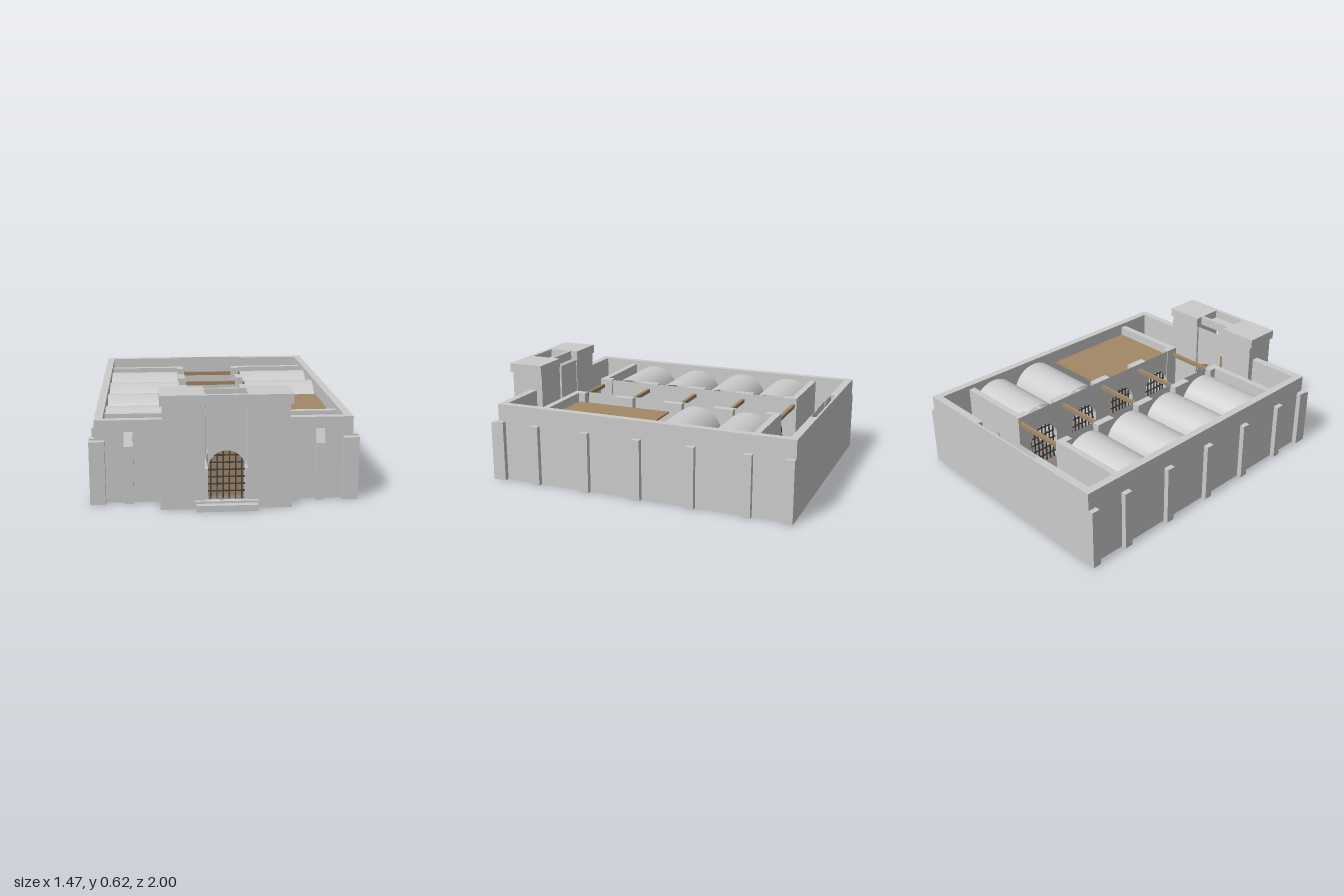
import * as THREE from 'three';

export function createModel() {
  const root = new THREE.Group();
  const mat = (color, extra = {}) => new THREE.MeshStandardMaterial({ color, ...extra });
  const stone = mat(0xcccccc);
  const thinStone = mat(0xcccccc, { side: THREE.DoubleSide });
  const wood = mat(0xa38866), paving = mat(0x8c8078), iron = mat(0x444444);
  const water = mat(0x3f5f6a), straw = mat(0xc9b784);

  const add = (name, geo, m = stone, parent = root) => {
    const mesh = new THREE.Mesh(geo, m);
    mesh.name = name;
    parent.add(mesh);
    return mesh;
  };
  // Box given by its limits on each axis
  const box = (name, x0, x1, y0, y1, z0, z1, m = stone, parent = root) => {
    const mesh = add(name, new THREE.BoxGeometry(Math.abs(x1 - x0), y1 - y0, Math.abs(z1 - z0)), m, parent);
    mesh.position.set((x0 + x1) / 2, (y0 + y1) / 2, (z0 + z1) / 2);
    return mesh;
  };
  const cyl = (name, r0, r1, h, x, y, z, m, sides = 12) => {
    const mesh = add(name, new THREE.CylinderGeometry(r0, r1, h, sides), m);
    mesh.position.set(x, y + h / 2, z);
    return mesh;
  };

  const R = 0.1, SPRING = 0.22, FLOOR = 0.047, WALL = 0.465, INNER = 0.44;

  // Arched opening: a thin spandrel facing local +z with a barrel arch behind it
  const archway = (name, top, depth) => {
    const g = new THREE.Group();
    g.name = name;
    const s = new THREE.Shape();
    s.moveTo(-R, SPRING);
    s.lineTo(-R, top);
    s.lineTo(R, top);
    s.lineTo(R, SPRING);
    s.absarc(0, SPRING, R, 0, Math.PI, false);
    add('spandrel', new THREE.ShapeGeometry(s, 16), thinStone, g);
    const barrel = new THREE.CylinderGeometry(R, R, depth, 20, 1, true, -Math.PI / 2, Math.PI);
    barrel.rotateX(-Math.PI / 2).translate(0, SPRING, -depth / 2);
    add('barrelArch', barrel, thinStone, g);
    root.add(g);
    return g;
  };
  // Arched iron grille in the local xy plane
  const grille = (name, t, cols, rows) => {
    const g = new THREE.Group();
    g.name = name;
    for (let i = 0; i < cols; i++) {
      const x = -R + (2 * R * (i + 0.5)) / cols;
      const top = SPRING + 0.93 * Math.sqrt(R * R - x * x);
      box('verticalBar', x - t / 2, x + t / 2, FLOOR, top, -t / 2, t / 2, iron, g);
    }
    for (let j = 0; j < rows; j++) {
      const y = 0.09 + (j * 0.2) / (rows - 1);
      const half = y < SPRING ? R : 0.95 * Math.sqrt(R * R - (y - SPRING) ** 2);
      box('crossBar', -half, half, y - t / 2, y + t / 2, -t / 3, t / 1.5, iron, g);
    }
    root.add(g);
    return g;
  };

  // Floors
  const floor = (x0, x1, z0, z1) => box('floor', x0, x1, FLOOR - 0.004, FLOOR, z0, z1, paving);
  floor(-0.66, 0.66, 0.57, 0.77);
  floor(-0.66, 0.66, -0.955, -0.76);
  floor(-0.17, 0.17, -0.76, 0.57);
  floor(-0.1, 0.1, 0.77, 0.935);

  // Outer walls and buttresses
  for (const s of [-1, 1]) {
    box('sideWall', s * 0.66, s * 0.705, 0, WALL, -1, 0.815);
    box('frontWall', s * 0.118, s * 0.66, 0, WALL, 0.77, 0.815);
    box('backWall', s * 0.255, s * 0.66, 0, WALL, -1, -0.955);
    box('nicheWall', s * R, s * 0.255, 0, WALL, -0.959, -0.955);
    box('frontCornerButtress', s * 0.65, s * 0.735, 0, 0.355, 0.77, 0.85);
    box('frontCornerCap', s * 0.7, s * 0.735, 0.355, 0.363, 0.77, 0.815);
    box('backCornerButtress', s * 0.7, s * 0.735, 0, 0.36, -1, -0.95);
    for (const z of [0.562, 0.237, -0.087, -0.412, -0.74])
      box('sideButtress', s * 0.7, s * 0.735, 0, 0.36, z - 0.025, z + 0.025);
    // Front buttress with a sloping top
    const p = new THREE.Shape([[0.8, 0], [0.845, 0], [0.845, 0.325], [0.815, 0.4], [0.8, 0.4]]
      .map(([z, y]) => new THREE.Vector2(-z, y)));
    const g = new THREE.ExtrudeGeometry(p, { depth: 0.05, bevelEnabled: false });
    g.rotateY(Math.PI / 2).translate(s * 0.523 - 0.025, 0, 0);
    add('slopedButtress', g);
    box('wallBracket', s * 0.33, s * 0.41, 0.37, 0.385, -0.955, -0.945, iron);
  }
  box('nicheBack', -0.255, 0.255, 0, WALL, -1, -0.988);
  archway('nicheArch', WALL, 0.044).position.z = -0.955;

  // Corridor walls, cell doors, cross walls and vaults
  const lines = [-0.745, -0.42, -0.095, 0.23, 0.56];
  for (const s of [-1, 1]) {
    lines.forEach((z, i) => {
      const end = i === 0 || i === 4;
      const largeCell = s > 0 && i >= 2;
      if (end) box('endWall', s * 0.2, s * 0.66, 0, INNER, z - 0.02, z + 0.018);
      else if (!(s > 0 && i === 3))
        box('crossWall', s * 0.2, s * 0.66, 0, 0.28, z - 0.02, largeCell ? z + 0.002 : z + 0.02);
      const z0 = i ? z - 0.0625 : z - 0.02, z1 = i < 4 ? z + 0.0625 : z + 0.02;
      box('corridorPier', s * 0.17, s * 0.215, 0, INNER, z0, z1);
      if (i === 4) return;
      const c = z + 0.1625;
      const arch = archway('cellDoorArch', INNER, 0.045);
      arch.position.set(s * 0.17, 0, c);
      arch.rotation.y = -s * Math.PI / 2;
      const gate = grille('cellGate', 0.007, 7, 5);
      gate.position.set(s * 0.192, 0, c);
      gate.rotation.y = -s * Math.PI / 2;
      if (largeCell) return;
      floor(s * 0.17, s * 0.66, z + 0.02, z + 0.305);
      const v = new THREE.CylinderGeometry(0.1625, 0.1625, 0.445, 32, 1, true, 0, Math.PI);
      v.rotateZ(Math.PI / 2);
      add('cellVault', v, thinStone).position.set(s * 0.4375, 0.274, c);
    });
  }
  floor(0.17, 0.66, -0.075, 0.54);
  box('largeCellCeiling', 0.215, 0.658, 0.375, 0.385, -0.075, 0.54, wood);
  for (const z of lines) box('corridorBeam', -0.175, 0.175, 0.382, 0.405, z - 0.01, z + 0.01, wood);

  // Drain along the corridor
  box('drainChannel', -0.01, 0.01, FLOOR, FLOOR + 0.003, -0.73, 0.55, water);
  for (let i = 0; i < 4; i++) {
    const z = lines[i] + 0.1625;
    box('drainGrate', -0.011, 0.011, FLOOR, FLOOR + 0.006, z - 0.02, z + 0.02, iron);
  }

  // Gatehouse towers with a flared base
  for (const s of [-1, 1]) {
    const g = new THREE.BoxGeometry(0.225, 0.57, 0.205, 1, 2, 1);
    const p = g.attributes.position;
    for (let i = 0; i < p.count; i++) {
      const y = p.getY(i);
      if (Math.abs(y) < 0.01) p.setY(i, 0.13 - 0.285);
      else if (y < 0) {
        if (p.getX(i) * s > 0) p.setX(i, p.getX(i) + s * 0.015);
        if (p.getZ(i) > 0) p.setZ(i, p.getZ(i) + 0.015);
      }
    }
    add('gateTower', g).position.set(s * 0.2275, 0.285, 0.8325);
    box('towerCap', s * 0.115, s * 0.355, 0.57, 0.625, 0.725, 0.945);
    box('gateJamb', s * 0.1, s * 0.118, 0, SPRING, 0.73, 0.935);
  }
  // Parapet bridging the towers
  box('frontParapet', -0.115, 0.115, 0.57, 0.625, 0.92, 0.945);
  box('rearParapet', -0.115, 0.115, 0.57, 0.625, 0.77, 0.79);
  box('gateRoof', -0.115, 0.115, 0.565, 0.575, 0.78, 0.93);

  // Gate passage: arches at both ends, an iron portcullis and a wooden door
  archway('frontGateArch', 0.57, 0.05).position.z = 0.933;
  const rear = archway('rearGateArch', 0.57, 0.045);
  rear.position.z = 0.726;
  rear.rotation.y = Math.PI;
  grille('portcullis', 0.007, 6, 6).position.z = 0.915;
  const door = new THREE.Shape();
  door.moveTo(-R, FLOOR);
  door.lineTo(R, FLOOR);
  door.lineTo(R, SPRING);
  door.absarc(0, SPRING, R, 0, Math.PI, false);
  add('woodenDoor', new THREE.ExtrudeGeometry(door, { depth: 0.015, bevelEnabled: false }), wood)
    .position.z = 0.86;
  box('lowerStep', -0.165, 0.165, 0, 0.035, 0.93, 1);
  box('upperStep', -0.17, 0.17, 0.035, 0.047, 0.93, 0.965);

  // Dais in the rear hall with seat, table and braziers
  [0.24, 0.215, 0.19].forEach((x, i) =>
    box('daisStep', -x, x, FLOOR + i * 0.012, FLOOR + (i + 1) * 0.012, -0.955, -0.76 - i * 0.015));
  const D = FLOOR + 0.036;
  box('seat', -0.045, 0.045, D, D + 0.045, -0.925, -0.875, wood);
  box('seatBack', -0.045, 0.045, D, D + 0.12, -0.935, -0.925, wood);
  for (const s of [-1, 1]) {
    box('seatArm', s * 0.036, s * 0.045, D + 0.045, D + 0.07, -0.925, -0.875, wood);
    cyl('brazierStem', 0.008, 0.02, 0.06, s * 0.13, D, -0.885, iron);
    cyl('brazierBowl', 0.035, 0.015, 0.025, s * 0.13, D + 0.06, -0.885, iron);
  }
  box('smallTable', -0.025, 0.025, D, D + 0.03, -0.855, -0.825);

  // Straw bedding, barrels and a crate
  for (const [x, z, r] of [[-0.49, -0.905, 0.2], [-0.45, -0.912, 0], [-0.415, -0.908, 0.1], [-0.563, -0.84, 1.45]]) {
    const bale = add('strawBale', new THREE.BoxGeometry(0.045, 0.025, 0.024), straw);
    bale.position.set(x, FLOOR + 0.0125, z);
    bale.rotation.y = r;
  }
  for (const [x, z] of [[0.55, -0.915], [0.588, -0.92], [0.563, -0.88]]) {
    cyl('barrel', 0.016, 0.016, 0.05, x, FLOOR, z, iron);
    cyl('barrelLid', 0.013, 0.013, 0.003, x, FLOOR + 0.05, z, wood);
  }
  box('crate', 0.42, 0.475, FLOOR, FLOOR + 0.04, -0.945, -0.915, wood);

  // Front yard: table with benches, fire pit and weapon rack
  box('tableTop', 0.315, 0.425, FLOOR + 0.045, FLOOR + 0.053, 0.64, 0.69, wood);
  for (const x of [0.33, 0.41]) box('tableLeg', x - 0.006, x + 0.006, FLOOR, FLOOR + 0.045, 0.65, 0.68, wood);
  for (const z of [0.617, 0.71]) box('bench', 0.32, 0.42, FLOOR, FLOOR + 0.025, z - 0.008, z + 0.008, wood);
  const ring = add('firePit', new THREE.TorusGeometry(0.026, 0.008, 6, 12));
  ring.rotation.x = Math.PI / 2;
  ring.position.set(0.54, FLOOR + 0.006, 0.645);
  cyl('fireStones', 0.01, 0.022, 0.03, 0.54, FLOOR, 0.645, iron, 6);
  box('rackPost', -0.285, -0.278, FLOOR, FLOOR + 0.14, 0.685, 0.695, wood);
  box('rackBar', -0.29, -0.21, FLOOR + 0.12, FLOOR + 0.128, 0.687, 0.693, wood);

  return root;
}
